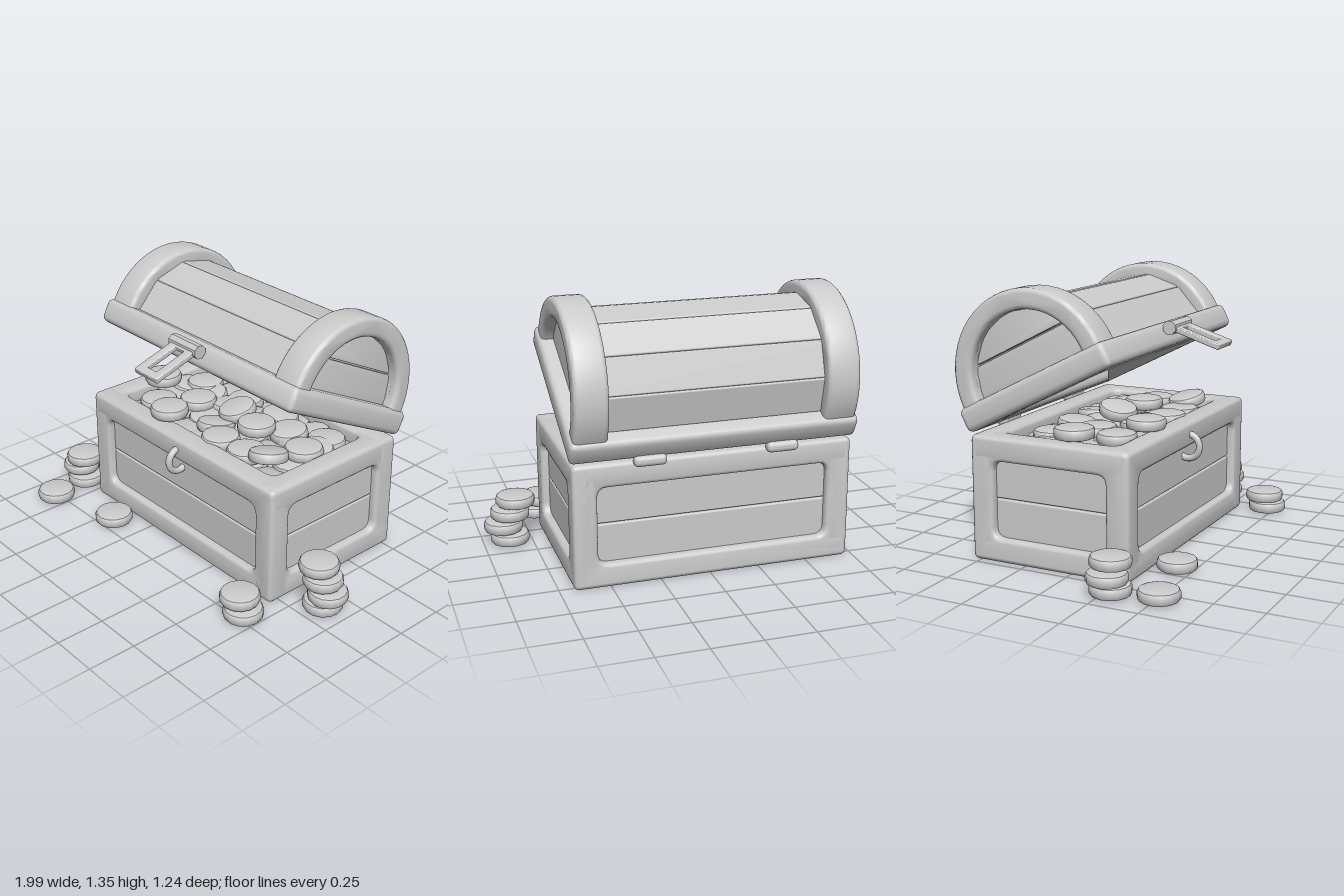
import * as THREE from 'three';
import { toCreasedNormals } from 'three/addons/utils/BufferGeometryUtils.js';
import { RoundedBoxGeometry } from 'three/addons/geometries/RoundedBoxGeometry.js';

const mat = new THREE.MeshStandardMaterial({ color: 0xcccccc });
const CX = -0.02; // chest centre in x

function add(parent, name, geo, x = 0, y = 0, z = 0) {
  const m = new THREE.Mesh(geo, mat);
  m.name = name;
  m.position.set(x, y, z);
  parent.add(m);
  return m;
}

const box = (w, h, d, r) => new RoundedBoxGeometry(w, h, d, 2, r);

// Bevelled extrusion centred on its depth, keeping the shape's own outline
function slab(shape, depth, bevel, curveSegments = 4) {
  const g = new THREE.ExtrudeGeometry(shape, {
    depth: depth - 2 * bevel, bevelThickness: bevel, bevelSize: bevel,
    bevelOffset: -bevel, bevelSegments: 3, curveSegments,
  });
  g.translate(0, 0, -depth / 2 + bevel);
  return toCreasedNormals(g, 0.6);
}

function roundRect(p, w, h, r) {
  const x = w / 2, y = h / 2;
  p.moveTo(-x + r, -y);
  p.lineTo(x - r, -y); p.quadraticCurveTo(x, -y, x, -y + r);
  p.lineTo(x, y - r); p.quadraticCurveTo(x, y, x - r, y);
  p.lineTo(-x + r, y); p.quadraticCurveTo(-x, y, -x, y - r);
  p.lineTo(-x, -y + r); p.quadraticCurveTo(-x, -y, -x + r, -y);
  return p;
}

// Rectangular frame with a rounded opening
function frame(w, h, depth, border, bevel = 0.02) {
  const s = roundRect(new THREE.Shape(), w, h, 0.03);
  s.holes.push(roundRect(new THREE.Path(), w - 2 * border, h - 2 * border, 0.05));
  return slab(s, depth, bevel);
}

function buildBase() {
  const g = new THREE.Group();
  g.name = 'base';
  const W = 1.4, H = 0.625, D = 0.85, T = 0.12, rec = 0.065;
  g.position.set(CX, H / 2, -0.115);
  for (const s of [1, -1]) {
    add(g, 'longFrame', frame(W, H, T, T), 0, 0, s * (D - T) / 2);
    add(g, 'endFrame', frame(D, H, T, T).rotateY(Math.PI / 2), s * (W - T) / 2);
    add(g, 'levelFrame', frame(W, D, T, T).rotateX(Math.PI / 2), 0, s * (H - T) / 2);
    // Two planks behind each opening
    for (const v of [1, -1]) {
      add(g, 'longPlank', box(W - 0.14, 0.205, 0.05, 0.008), 0, v * 0.105, s * (D / 2 - rec));
      add(g, 'endPlank', box(0.05, 0.205, D - 0.14, 0.008), s * (W / 2 - rec), v * 0.105, 0);
    }
  }
  add(g, 'floor', new THREE.BoxGeometry(W - 0.1, 0.04, D - 0.1), 0, -H / 2 + 0.065);
  return g;
}

function buildLid() {
  const g = new THREE.Group();
  g.name = 'lid';
  g.position.set(CX, 0.63, -0.54);
  g.rotation.x = THREE.MathUtils.degToRad(-27);
  const midZ = 0.432, axisY = 0.12;
  add(g, 'lidRim', frame(1.43, 0.87, 0.125, 0.14, 0.03).rotateX(Math.PI / 2), 0, 0.062, midZ);

  // Six planks around the barrel
  const apothem = 0.348, thick = 0.036;
  for (let i = 0; i < 6; i++) {
    const a = (i + 0.5) * Math.PI / 6, r = apothem - thick / 2;
    const p = add(g, 'barrelPlank', box(1.32, thick, 0.181, 0.008),
      0, axisY + r * Math.sin(a), midZ + r * Math.cos(a));
    p.rotation.x = Math.PI / 2 - a;
  }

  // Arched bands with two end boards inside each
  const R = 0.415, r = 0.315, foot = -0.03;
  const arch = new THREE.Shape();
  arch.moveTo(R, foot);
  arch.lineTo(R, 0);
  arch.absarc(0, 0, R, 0, Math.PI);
  arch.lineTo(-R, foot);
  arch.lineTo(-r, foot);
  arch.lineTo(-r, 0);
  arch.absarc(0, 0, r, Math.PI, 0, true);
  arch.lineTo(r, foot);

  const split = 0.155, e = 0.335;
  const a0 = Math.asin(split / e), a1 = Math.asin((split + 0.008) / e);
  const lower = new THREE.Shape();
  lower.moveTo(-e, foot);
  lower.lineTo(e, foot);
  lower.absarc(0, 0, e, 0, a0);
  lower.absarc(0, 0, e, Math.PI - a0, Math.PI);
  const upper = new THREE.Shape();
  upper.absarc(0, 0, e, a1, Math.PI - a1);

  for (const s of [1, -1]) {
    add(g, 'archBand', slab(arch, 0.165, 0.022, 14).rotateY(Math.PI / 2), s * 0.617, axisY, midZ);
    for (const b of [lower, upper])
      add(g, 'endBoard', slab(b, 0.04, 0.005, 8).rotateY(Math.PI / 2), s * 0.62, axisY, midZ);
  }
  return g;
}

function buildHardware(root) {
  for (const s of [1, -1])
    add(root, 'hinge', box(0.16, 0.052, 0.06, 0.022), CX + s * 0.33, 0.628, -0.55);

  // Swinging hasp with a slotted plate
  const hasp = new THREE.Group();
  hasp.name = 'hasp';
  hasp.position.set(CX, 1.112, 0.232);
  hasp.rotation.x = THREE.MathUtils.degToRad(17.5);
  root.add(hasp);
  const pin = new THREE.CylinderGeometry(0.036, 0.036, 0.2, 8).rotateZ(Math.PI / 2);
  add(hasp, 'haspPin', toCreasedNormals(pin, 0.5));
  const plate = roundRect(new THREE.Shape(), 0.17, 0.27, 0.01);
  plate.holes.push(roundRect(new THREE.Path(), 0.07, 0.18, 0.008));
  add(hasp, 'haspPlate', slab(plate, 0.028, 0.006).rotateX(Math.PI / 2), 0, 0, 0.134);

  const ring = new THREE.TorusGeometry(0.063, 0.018, 8, 20).rotateY(Math.PI / 2);
  add(root, 'staple', ring, CX - 0.002, 0.505, 0.295);
}

function buildCoins(root) {
  const profile = [[0, -0.03], [0.078, -0.03], [0.093, -0.025], [0.1, -0.013],
    [0.1, 0.013], [0.093, 0.025], [0.078, 0.03], [0, 0.03]].map(p => new THREE.Vector2(...p));
  const coinGeo = toCreasedNormals(new THREE.LatheGeometry(profile, 14), 0.7);
  const coins = new THREE.Group();
  coins.name = 'coins';
  root.add(coins);
  const coin = (x, y, z, tx = 0, tz = 0) => {
    const c = add(coins, 'coin', coinGeo, x, y, z);
    c.rotation.set(tx, x * 5, tz);
  };
  // Loose coins and stacks on the ground: each entry lists [x, z] upward
  const stacks = [
    [[-0.865, 0.295], [-0.9, 0.295], [-0.865, 0.295]],
    [[-0.83, 0.52]],
    [[-0.425, 0.425]],
    [[0.665, 0.47], [0.635, 0.465]],
    [[0.865, 0.135], [0.897, 0.135], [0.862, 0.135], [0.832, 0.135]],
  ];
  for (const s of stacks) s.forEach(([x, z], i) => coin(x, 0.035 + i * 0.0665, z));

  // Heap on top: x, y, z, tilt about x, tilt about z
  [
    [-0.57, 0.658, -0.05], [-0.245, 0.658, 0.17], [0.18, 0.658, -0.05],
    [-0.02, 0.65, -0.1, 0.25, 0.12], [0.42, 0.64, 0.09, 0.12, -0.35],
    [-0.44, 0.6, -0.24], [-0.42, 0.615, 0.1], [-0.3, 0.61, -0.07, 0.1, 0.1],
    [0.1, 0.61, 0.12], [0.28, 0.61, -0.18, 0, 0.1], [0.28, 0.605, 0.11],
    [0.46, 0.61, -0.11], [-0.04, 0.6, 0.03, -0.15, 0.1],
    [-0.15, 0.59, -0.27, 0.1], [0.1, 0.59, -0.29, 0, -0.12], [0.43, 0.58, -0.3],
  ].forEach(c => coin(...c));

  // Layer filling the chest beneath the heap
  for (let i = 0; i < 7; i++)
    for (let j = 0; j < 4; j++)
      coin(CX - 0.48 + i * 0.16, 0.54 + 0.02 * ((i * 3 + j * 2) % 3), -0.335 + j * 0.15,
        0.12 * ((i + j) % 3 - 1), 0.12 * ((i + 2 * j) % 3 - 1));
  add(coins, 'coinBed', new THREE.BoxGeometry(1.2, 0.04, 0.65), CX, 0.5, -0.115);
}

export function createModel() {
  const root = new THREE.Group();
  root.name = 'treasureChest';
  root.add(buildBase(), buildLid());
  buildHardware(root);
  buildCoins(root);
  return root;
}
